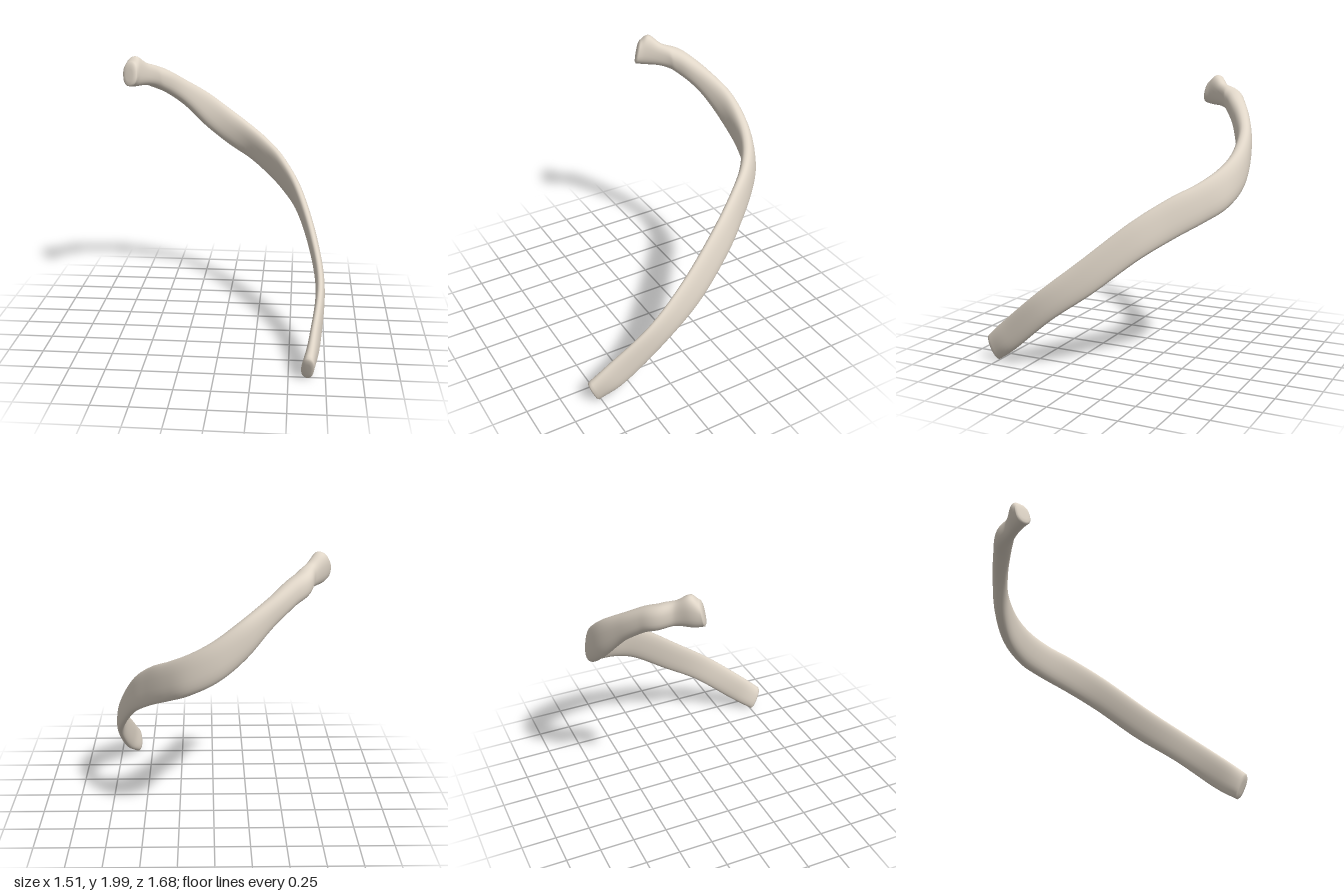
import * as THREE from 'three';

// Stations from head to front end: upper edge xyz, lower edge xyz, half thickness
const STATIONS = [
  [-0.72, 1.96, -0.33, -0.715, 1.79, -0.29, 0.062],
  [-0.69, 2.0, -0.385, -0.69, 1.78, -0.35, 0.06],
  [-0.625, 1.945, -0.45, -0.62, 1.775, -0.45, 0.05],
  [-0.57, 1.915, -0.53, -0.56, 1.735, -0.55, 0.07],
  [-0.48, 1.87, -0.6, -0.48, 1.685, -0.61, 0.066],
  [-0.36, 1.785, -0.69, -0.35, 1.575, -0.685, 0.058],
  [-0.18, 1.665, -0.77, -0.19, 1.395, -0.765, 0.055],
  [0, 1.53, -0.775, -0.02, 1.255, -0.8, 0.055],
  [0.15, 1.425, -0.72, 0.16, 1.15, -0.765, 0.052],
  [0.29, 1.33, -0.61, 0.29, 1.07, -0.66, 0.048],
  [0.41, 1.235, -0.45, 0.43, 0.97, -0.5, 0.043],
  [0.535, 1.07, -0.22, 0.565, 0.83, -0.3, 0.039],
  [0.65, 0.8, 0.1, 0.67, 0.6, -0.02, 0.035],
  [0.705, 0.56, 0.4, 0.712, 0.385, 0.28, 0.032],
  [0.66, 0.31, 0.7, 0.685, 0.135, 0.58, 0.036],
  [0.637, 0.19, 0.835, 0.622, 0.012, 0.755, 0.044],
];
const SIDES = 28;
const STEPS = 120;

function createShaft() {
  const curve = (k) => new THREE.CatmullRomCurve3(
    STATIONS.map((s) => new THREE.Vector3(s[k], s[k + 1], s[k + 2])), false, 'catmullrom', 0.5);
  const upper = curve(0), lower = curve(3);
  const thickness = new THREE.CatmullRomCurve3(STATIONS.map((s) => new THREE.Vector3(s[6], 0, 0)), false, 'catmullrom', 0.5);
  const centre = (t) => upper.getPoint(t).add(lower.getPoint(t)).multiplyScalar(0.5);

  // Rings along the bone: [position, scale, push along the bone]; end rings close the caps
  const rings = [[0, 0, -0.012], [0, 0.5, -0.012], [0, 0.82, -0.009]];
  for (let i = 0; i <= STEPS; i++) rings.push([i / STEPS, 1, 0]);
  rings.push([1, 0.86, 0.01], [1, 0.5, 0.012], [1, 0, 0.012]);

  const positions = [], index = [];
  for (const [t, scale, push] of rings) {
    const c = centre(t);
    const along = centre(Math.min(1, t + 0.01)).sub(centre(Math.max(0, t - 0.01))).normalize();
    const high = upper.getPoint(t).sub(c);
    const wide = along.clone().cross(high).normalize().multiplyScalar(thickness.getPoint(t).x);
    for (let j = 0; j < SIDES; j++) {
      const a = (j / SIDES) * Math.PI * 2;
      const round = (v) => Math.sign(v) * Math.abs(v) ** 0.85; // slightly squared oval
      const p = c.clone()
        .addScaledVector(high, round(Math.cos(a)) * scale)
        .addScaledVector(wide, round(Math.sin(a)) * scale)
        .addScaledVector(along, push);
      positions.push(p.x, p.y, p.z);
    }
  }
  for (let i = 0; i < rings.length - 1; i++) {
    for (let j = 0; j < SIDES; j++) {
      const k = (j + 1) % SIDES;
      const a = i * SIDES + j, b = i * SIDES + k;
      index.push(a, b, a + SIDES, b, b + SIDES, a + SIDES);
    }
  }
  const geometry = new THREE.BufferGeometry();
  geometry.setAttribute('position', new THREE.Float32BufferAttribute(positions, 3));
  geometry.setIndex(index);
  geometry.computeVertexNormals();
  return geometry;
}

export function createModel() {
  const group = new THREE.Group();
  group.name = 'rib';
  const bone = new THREE.Mesh(createShaft(), new THREE.MeshStandardMaterial({ color: 0xe0d6c8 }));
  bone.name = 'ribBone';
  group.add(bone);
  return group;
}
